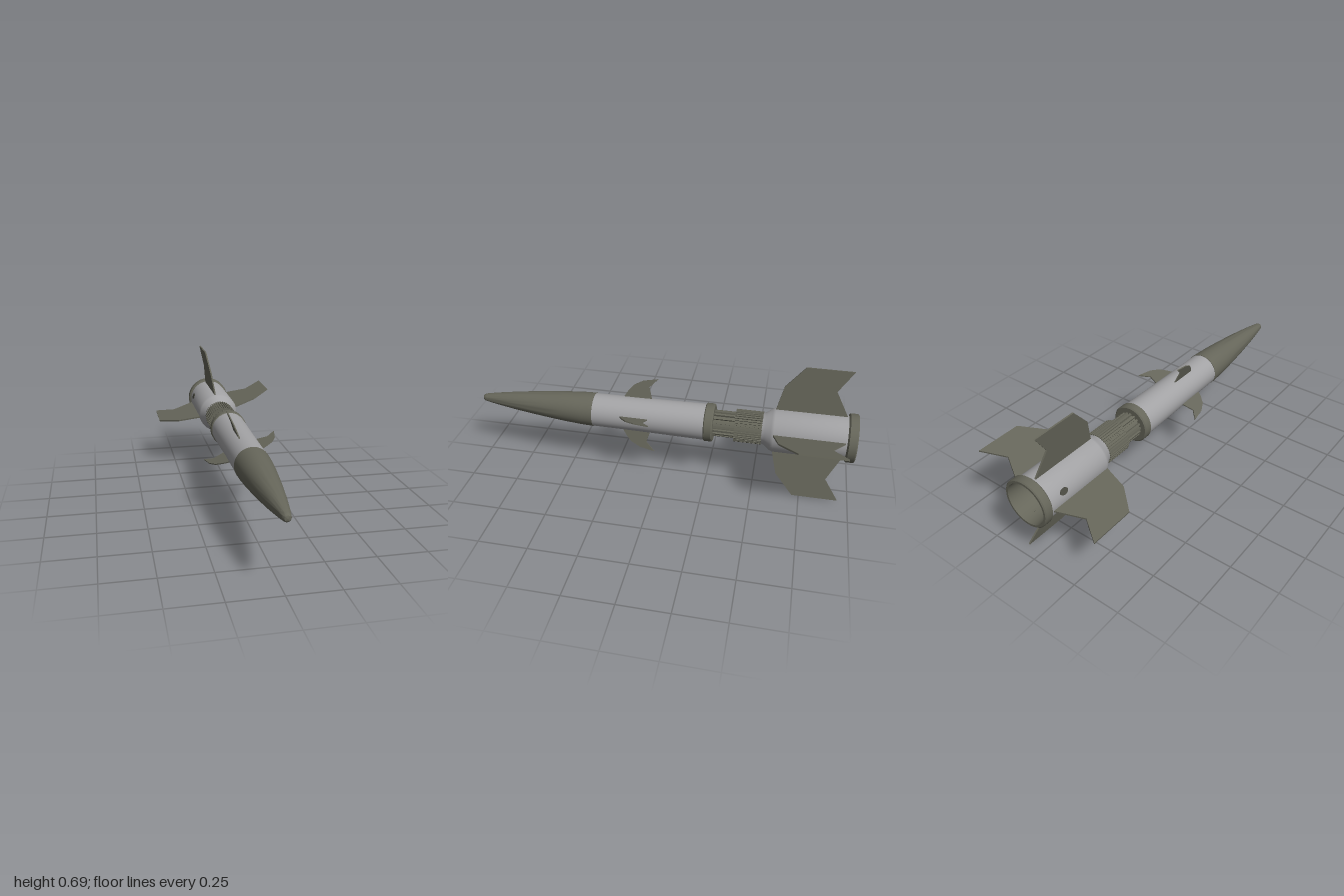
import * as THREE from 'three';
import { toCreasedNormals } from 'three/addons/utils/BufferGeometryUtils.js';

const rad = THREE.MathUtils.degToRad;

export function createModel() {
  const model = new THREE.Group();
  model.name = 'missile';
  const olive = new THREE.MeshStandardMaterial({ name: 'olive', color: 0x66665a });
  const grey = new THREE.MeshStandardMaterial({ name: 'lightGrey', color: 0xa3a3a5 });
  const dark = new THREE.MeshStandardMaterial({ name: 'darkOlive', color: 0x4c4c43 });

  // Everything is built around the z axis, then lifted
  const body = new THREE.Group();
  body.name = 'missileBody';
  body.position.set(0.002, 0.344, 0);
  model.add(body);

  function add(name, geometry, material) {
    const mesh = new THREE.Mesh(geometry, material);
    mesh.name = name;
    body.add(mesh);
    return mesh;
  }

  // Turned part from [z, radius] pairs, running from back to front
  function turned(name, profile, material) {
    const points = profile.map(([z, r]) => new THREE.Vector2(r, z));
    const geometry = new THREE.LatheGeometry(points, 48).rotateX(Math.PI / 2);
    return add(name, toCreasedNormals(geometry, rad(28)), material);
  }

  // Ribbed cylinder with square teeth
  function ribbed(name, zBack, zFront, inner, outer, teeth) {
    const points = [];
    for (let i = 0; i < teeth; i++) {
      [[0, inner], [0.45, inner], [0.5, outer], [0.95, outer]].forEach(([t, r]) => {
        const a = ((i + t) / teeth) * Math.PI * 2;
        points.push(new THREE.Vector2(Math.cos(a) * r, Math.sin(a) * r));
      });
    }
    const geometry = new THREE.ExtrudeGeometry(new THREE.Shape(points), {
      depth: zFront - zBack, bevelEnabled: false,
    }).translate(0, 0, zBack);
    add(name, geometry, olive);
  }

  // Fin outline given as [radius, z], placed at each angle around the body
  function fins(name, outline, thickness, angles) {
    const shape = new THREE.Shape(outline.map(([r, z]) => new THREE.Vector2(r, z)));
    const geometry = new THREE.ExtrudeGeometry(shape, { depth: thickness, bevelEnabled: false })
      .translate(0, 0, -thickness / 2).rotateX(Math.PI / 2);
    angles.forEach((angle, i) => {
      add(name + (i + 1), geometry, olive).rotation.z = rad(angle);
    });
  }

  // Nose and forward body
  turned('noseCone', [[0.36, 0.08], [0.36, 0.09], [0.42, 0.088], [0.52, 0.081], [0.62, 0.071],
    [0.72, 0.06], [0.82, 0.047], [0.9, 0.035], [0.96, 0.025]], olive);
  turned('noseTip', [[0.955, 0.026], [0.975, 0.022], [0.988, 0.019], [0.996, 0.013], [1, 0]], olive);
  turned('forwardBody', [[-0.235, 0.095], [0.1, 0.09], [0.362, 0.088]], grey);
  turned('forwardBodyRing', [[-0.28, 0], [-0.28, 0.094], [-0.274, 0.1], [-0.238, 0.1],
    [-0.232, 0.094]], olive);

  // Ribbed joint between the two bodies
  ribbed('jointNeck', -0.4, -0.275, 0.058, 0.069, 18);
  ribbed('jointSleeve', -0.53, -0.39, 0.079, 0.085, 40);

  // Tail body with flared front and open nozzle
  turned('tailBody', [[-0.96, 0.114], [-0.59, 0.114], [-0.575, 0.108], [-0.545, 0.085],
    [-0.525, 0.078], [-0.525, 0]], grey);
  turned('nozzleRing', [[-0.72, 0], [-0.72, 0.06], [-0.82, 0.085], [-0.92, 0.1], [-1, 0.108],
    [-1, 0.119], [-0.995, 0.124], [-0.958, 0.124], [-0.95, 0.114]], olive);

  fins('tailFin', [[0.1, -0.585], [0.24, -0.62], [0.351, -0.715], [0.351, -0.948],
    [0.24, -0.875], [0.1, -0.95]], 0.008, [16.5, 98.4, 191.2, 283.8]);
  fins('forwardFin', [[0.08, 0.212], [0.12, 0.188], [0.155, 0.16], [0.182, 0.11], [0.198, 0.03],
    [0.15, 0.075], [0.08, 0.055]], 0.006, [16.7, 109.4, 202.5, 284.5]);

  // Round ports on the tail sides
  [330, 160].forEach((angle, i) => {
    const geometry = new THREE.CylinderGeometry(0.023, 0.023, 0.008, 20)
      .scale(0.7, 1, 1).rotateZ(-Math.PI / 2).translate(0.113, 0, -0.868);
    add('tailPort' + (i + 1), geometry, dark).rotation.z = rad(angle);
  });

  return model;
}
